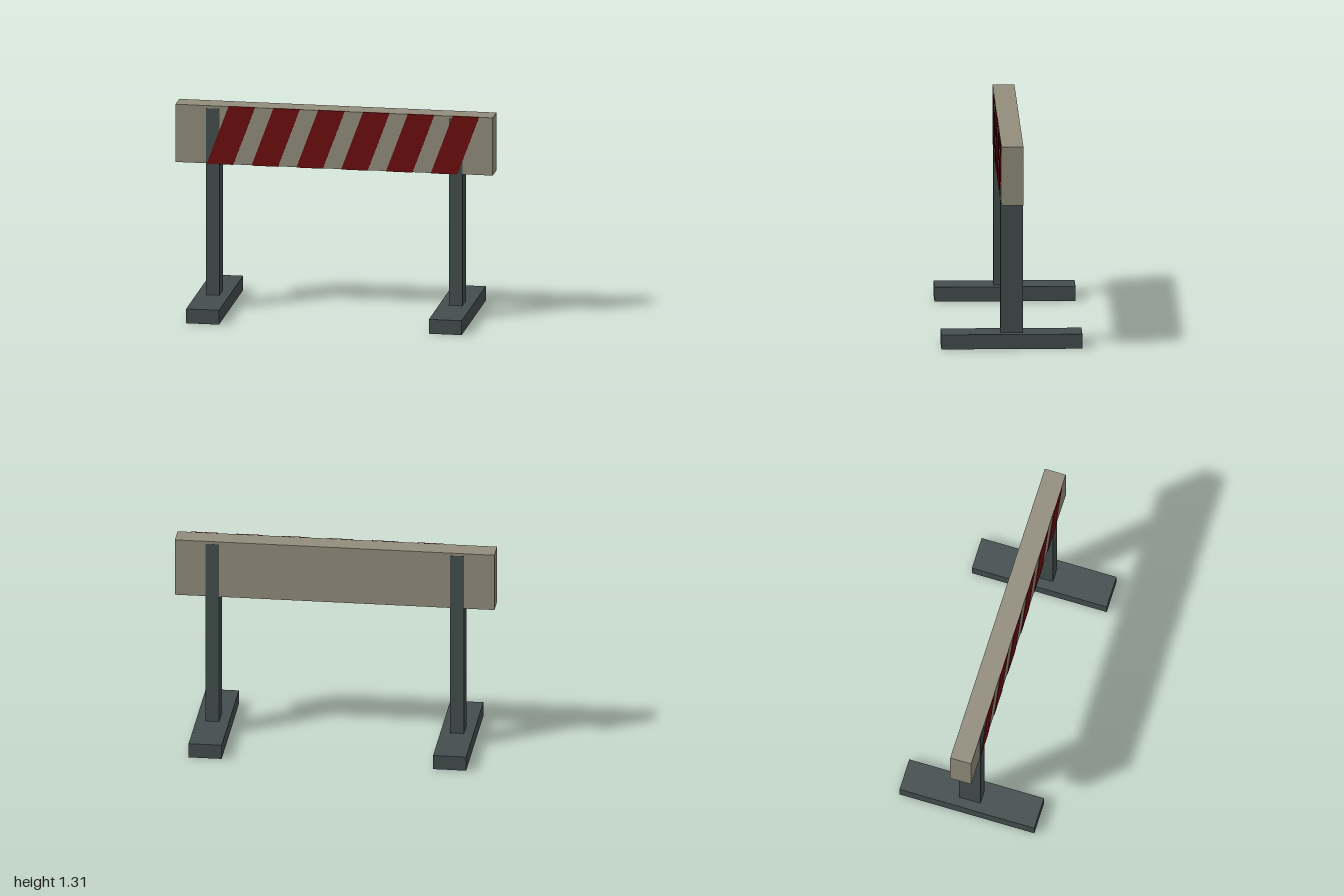
import * as THREE from 'three';

export function createModel() {
  const model = new THREE.Group();
  model.name = 'barrier';

  const material = (name, color) => {
    const m = new THREE.MeshStandardMaterial({ color });
    m.name = name;
    return m;
  };
  const steel = material('dark grey steel', 0x434e4e);
  const board = material('beige board', 0x928d7c);
  const red = material('dark red paint', 0x6c0c0e);

  const add = (name, geometry, mat, x, y, z) => {
    const mesh = new THREE.Mesh(geometry, mat);
    mesh.name = name;
    mesh.position.set(x, y, z);
    model.add(mesh);
  };
  const box = (name, mat, w, h, d, x, y) =>
    add(name, new THREE.BoxGeometry(w, h, d), mat, x, y + h / 2, 0);

  // Cross board
  const bottom = 0.935, height = 0.37, depth = 0.136;
  box('board', board, 2, height, depth, 0, bottom);

  // Feet and posts; the posts sit just proud of the board's faces
  for (const [side, s] of [['left', 1], ['right', -1]]) {
    box(side + 'Foot', steel, 0.207, 0.092, 0.876, s * 0.765, 0);
    box(side + 'Post', steel, 0.086, 1.198, depth + 0.002, s * 0.766, 0.09);
  }

  // Slanted stripes as thin plates on the front
  const shape = new THREE.Shape();
  shape.moveTo(0, -0.002);
  shape.lineTo(0.167, -0.002);
  shape.lineTo(0.305, height + 0.002);
  shape.lineTo(0.138, height + 0.002);
  shape.closePath();
  const stripe = new THREE.ExtrudeGeometry(shape, { depth: 0.004, bevelEnabled: false });
  for (let i = 0; i < 6; i++) {
    add('stripe' + (i + 1), stripe, red, -0.803 + i * 0.2825, bottom, depth / 2 - 0.001);
  }

  return model;
}
